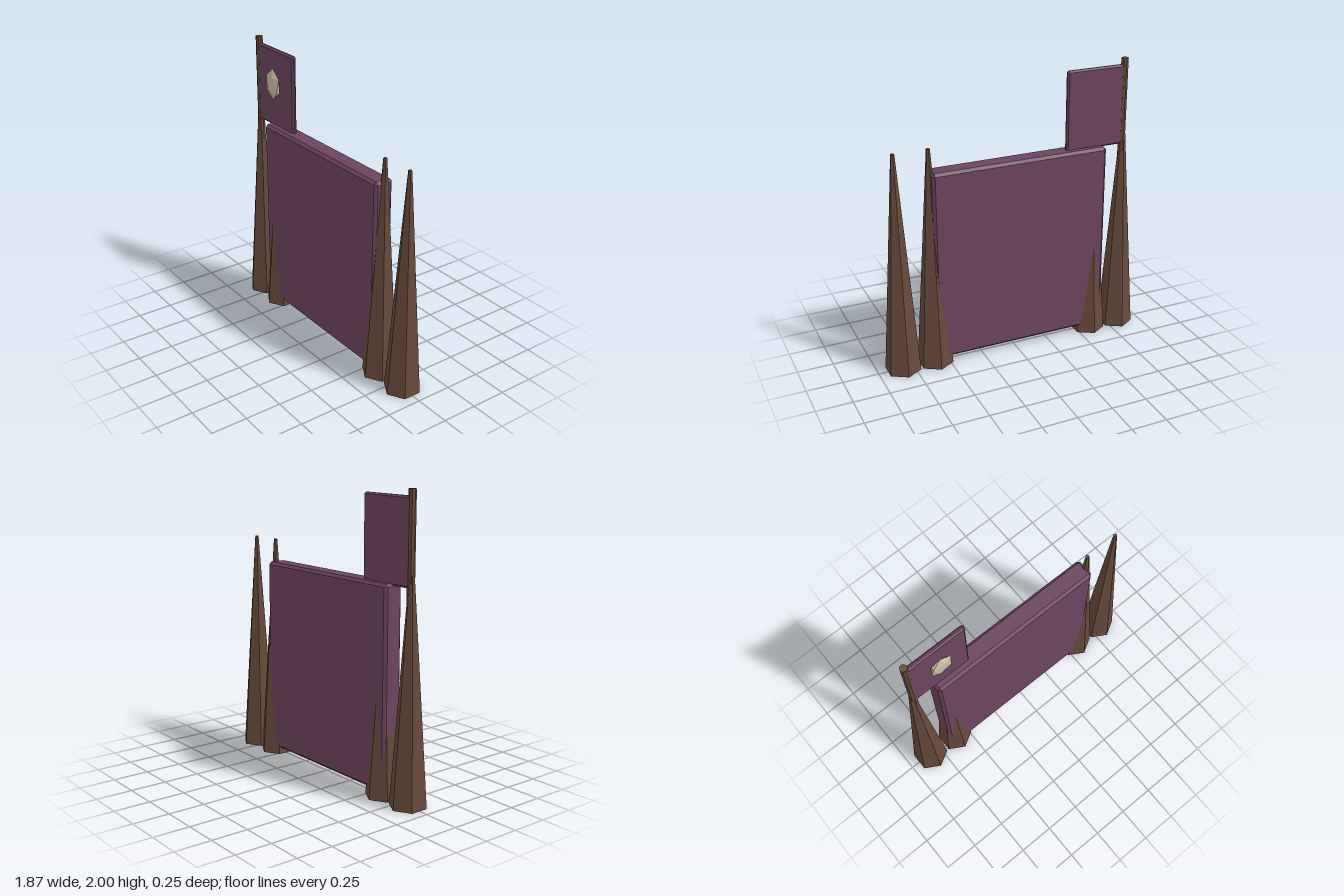
import * as THREE from 'three';
import { ConvexGeometry } from 'three/addons/geometries/ConvexGeometry.js';

const paint = (color) => new THREE.MeshStandardMaterial({ color, flatShading: true });

// Box with every edge chamfered by c: each corner becomes three points
function chamferBox(w, h, d, c) {
  const points = [];
  for (const sx of [-1, 1]) for (const sy of [-1, 1]) for (const sz of [-1, 1]) {
    for (let axis = 0; axis < 3; axis++) {
      const half = [w / 2, h / 2, d / 2].map((v, i) => (i === axis ? v : v - c));
      points.push(new THREE.Vector3(sx * half[0], sy * half[1], sz * half[2]));
    }
  }
  return new ConvexGeometry(points);
}

// Faceted gem: two tips and two staggered rings of five
function gemGeometry(rx, ry, rz) {
  const points = [new THREE.Vector3(0, ry, 0), new THREE.Vector3(0, -ry, 0)];
  for (const s of [-1, 1]) for (let i = 0; i < 5; i++) {
    const a = (i * Math.PI * 2) / 5;
    points.push(new THREE.Vector3(s * rx * Math.cos(a), s * ry * 0.447, s * rz * Math.sin(a)));
  }
  return new ConvexGeometry(points);
}

export function createModel() {
  const group = new THREE.Group();
  const wood = paint(0x674a3b);
  const cloth = paint(0x6d4560);
  const bone = paint(0xc9c3a6);

  const add = (name, geometry, material, x, y, z) => {
    const mesh = new THREE.Mesh(geometry, material);
    mesh.name = name;
    mesh.position.set(x, y, z);
    group.add(mesh);
  };

  // Tapered six-sided stakes: x, height, tip radius
  const stakes = [
    ['outerRightStake', -0.827, 1.565, 0.012],
    ['innerRightStake', -0.595, 1.53, 0.001],
    ['innerLeftStake', 0.59, 1.565, 0.013],
    ['outerLeftStake', 0.825, 1.565, 0.013],
  ];
  for (const [name, x, height, tip] of stakes) {
    add(name, new THREE.CylinderGeometry(tip, 0.125, height, 6), wood, x, height / 2, 0);
  }

  // Large wall panel between the stakes
  add('wallPanel', chamferBox(1.263, 1.36, 0.14, 0.019), cloth, -0.0405, 0.73, 0);

  // Flag on its pole, with the emblem on the front
  add('flagPole', new THREE.CylinderGeometry(0.025, 0.025, 0.8, 8), wood, -0.82, 1.6, 0);
  add('flag', chamferBox(0.43, 0.56, 0.034, 0.012), cloth, -0.603, 1.677, 0);
  add('flagEmblem', gemGeometry(0.077, 0.115, 0.022), bone, -0.602, 1.714, 0.036);

  return group;
}
